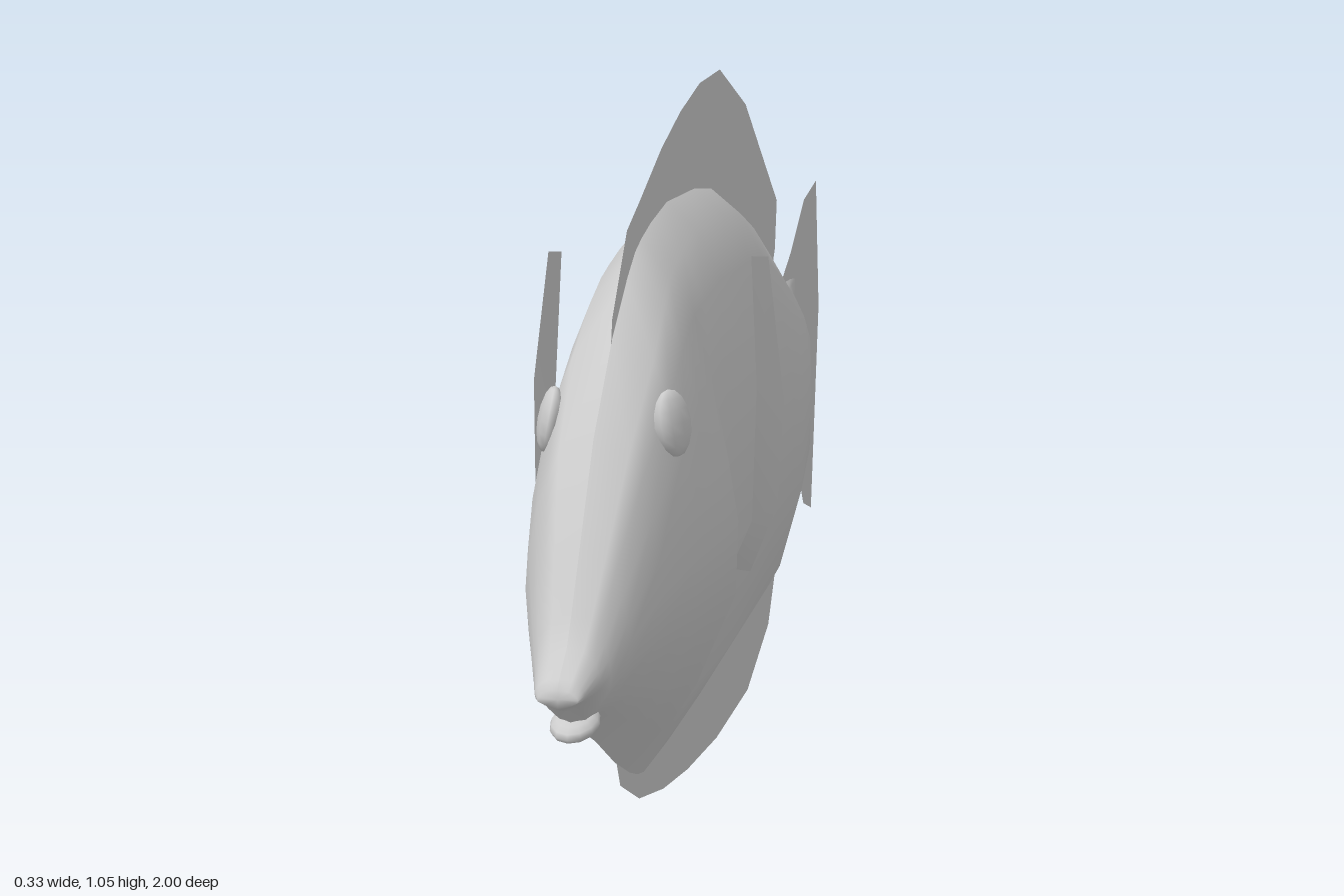
import * as THREE from 'three';

const skin = new THREE.MeshStandardMaterial({ color: 0xcccccc });
const finSkin = new THREE.MeshStandardMaterial({ color: 0xcccccc, side: THREE.DoubleSide });

// Cross-section: height fraction, body width, head width, gill bulge
const PROFILE = [
  [0, 0, 0, 0], [0.09, 0.37, 0.32, 0], [0.18, 0.7, 0.62, 0.2], [0.36, 0.98, 0.96, 1],
  [0.5, 1, 1, 1], [0.62, 0.98, 0.95, 0.6], [0.75, 0.83, 0.84, 0.1],
  [0.86, 0.62, 0.68, 0], [0.95, 0.35, 0.5, 0], [1, 0, 0, 0],
];

// Stations from tail to snout: z, bottom, top, half width, head blend, gill bulge
const STATIONS = [
  [-0.74, 0.43, 0.64, 0, 0, 0], [-0.69, 0.43, 0.645, 0.008, 0, 0],
  [-0.587, 0.46, 0.647, 0.04, 0, 0], [-0.5, 0.4, 0.675, 0.068, 0, 0],
  [-0.45, 0.364, 0.695, 0.077, 0, 0], [-0.276, 0.23, 0.765, 0.106, 0, 0],
  [-0.1, 0.14, 0.835, 0.123, 0, 0], [0.02, 0.128, 0.872, 0.129, 0, 0],
  [0.15, 0.117, 0.885, 0.13, 0, 0], [0.345, 0.1, 0.885, 0.125, 0, 0],
  [0.45, 0.1, 0.867, 0.12, 0.15, 0], [0.51, 0.1, 0.852, 0.116, 0.3, 0],
  [0.55, 0.108, 0.838, 0.116, 0.4, 0.026], [0.6, 0.125, 0.808, 0.116, 0.6, 0.018],
  [0.69, 0.165, 0.74, 0.113, 0.9, 0.004], [0.8, 0.225, 0.625, 0.092, 1, 0],
  [0.88, 0.262, 0.497, 0.066, 1, 0], [0.925, 0.275, 0.425, 0.051, 1, 0],
  [0.95, 0.306, 0.388, 0.043, 1, 0], [0.99, 0.318, 0.358, 0.032, 1, 0],
  [1, 0.322, 0.346, 0.026, 1, 0], [1, 0.334, 0.335, 0, 1, 0],
];

// Surface through rows of points; outward normals for rows running up and along +z
function sheet(rows, flip = false) {
  const n = rows[0].length;
  const index = [];
  for (let i = 0; i < rows.length - 1; i++) {
    for (let j = 0; j < n - 1; j++) {
      const a = i * n + j, b = a + 1, c = a + n, d = c + 1;
      index.push(...(flip ? [a, c, b, b, c, d] : [a, b, c, b, d, c]));
    }
  }
  const g = new THREE.BufferGeometry();
  g.setAttribute('position', new THREE.Float32BufferAttribute(rows.flat(2), 3));
  g.setIndex(index);
  g.computeVertexNormals();
  return g;
}

// Half of the body; the two halves meet in a sharp keel and ridge
function bodyHalf(side) {
  const rows = STATIONS.map(([z, low, high, w, head, gill]) =>
    PROFILE.map(([f, body, face, bulge]) => [
      side * (w * THREE.MathUtils.lerp(body, face, head) + gill * bulge),
      THREE.MathUtils.lerp(low, high, f),
      z,
    ]));
  return sheet(rows, side < 0);
}

// Flat fin in the middle plane, outline given as (z, y)
function flatFin(points) {
  const shape = new THREE.Shape(points.map(([z, y]) => new THREE.Vector2(z, y)));
  return new THREE.ShapeGeometry(shape).rotateY(-Math.PI / 2);
}

// Side fin that bows outward, as pairs of front and back edge points
function pectoralFin(side) {
  const rows = [
    [[0.122, 0.395, 0.5], [0.127, 0.364, 0.378]],
    [[0.153, 0.465, 0.507], [0.163, 0.46, 0.357]],
    [[0.157, 0.65, 0.495], [0.167, 0.605, 0.335]],
    [[0.143, 0.825, 0.462], [0.149, 0.813, 0.363]],
  ];
  return sheet(rows.map(r => r.map(([x, y, z]) => [side * x, y, z])), side < 0);
}

export function createModel() {
  const model = new THREE.Group();
  model.name = 'fish';
  const add = (name, geometry, material = skin) => {
    const mesh = new THREE.Mesh(geometry, material);
    mesh.name = name;
    model.add(mesh);
    return mesh;
  };

  // Mirrored parts
  for (const [label, side] of [['left', 1], ['right', -1]]) {
    add(label + 'Body', bodyHalf(side));
    add(label + 'PectoralFin', pectoralFin(side), finSkin);
    const eye = add(label + 'Eye', new THREE.SphereGeometry(1, 10, 8));
    eye.scale.set(0.016, 0.045, 0.042);
    eye.position.set(side * 0.083, 0.632, 0.7);
    eye.rotation.set(0, -side * 0.3, side * 0.18);
  }

  // Lower jaw below the open mouth
  const jaw = add('lowerJaw', new THREE.SphereGeometry(1, 12, 8));
  jaw.scale.set(0.032, 0.016, 0.045);
  jaw.position.set(0, 0.28, 0.91);
  jaw.rotation.x = 0.25;

  // Fins along the middle plane
  add('dorsalFin', flatFin([
    [0.7, 0.72], [0.69, 0.765], [0.6, 0.872], [0.52, 0.904], [0.38, 0.963], [0.25, 1.005],
    [0.11, 1.037], [-0.045, 1.048], [-0.26, 0.98], [-0.55, 0.797], [-0.533, 0.717],
    [-0.496, 0.674], [-0.45, 0.65], [-0.1, 0.79], [0.3, 0.83], [0.5, 0.8],
  ]), finSkin);
  add('analFin', flatFin([
    [0.69, 0.18], [0.657, 0.123], [0.54, 0.07], [0.38, 0.037], [0.207, 0.016], [-0.02, 0.002],
    [-0.287, 0.01], [-0.48, 0.075], [-0.68, 0.315], [-0.517, 0.417], [-0.45, 0.42],
    [-0.25, 0.26], [-0.08, 0.18], [0.3, 0.15],
  ]), finSkin);
  add('tailFin', flatFin([
    [-0.587, 0.647], [-0.69, 0.69], [-0.83, 0.77], [-0.962, 0.792], [-1, 0.556],
    [-0.925, 0.19], [-0.84, 0.215], [-0.69, 0.385], [-0.587, 0.46],
  ]), finSkin);

  return model;
}
